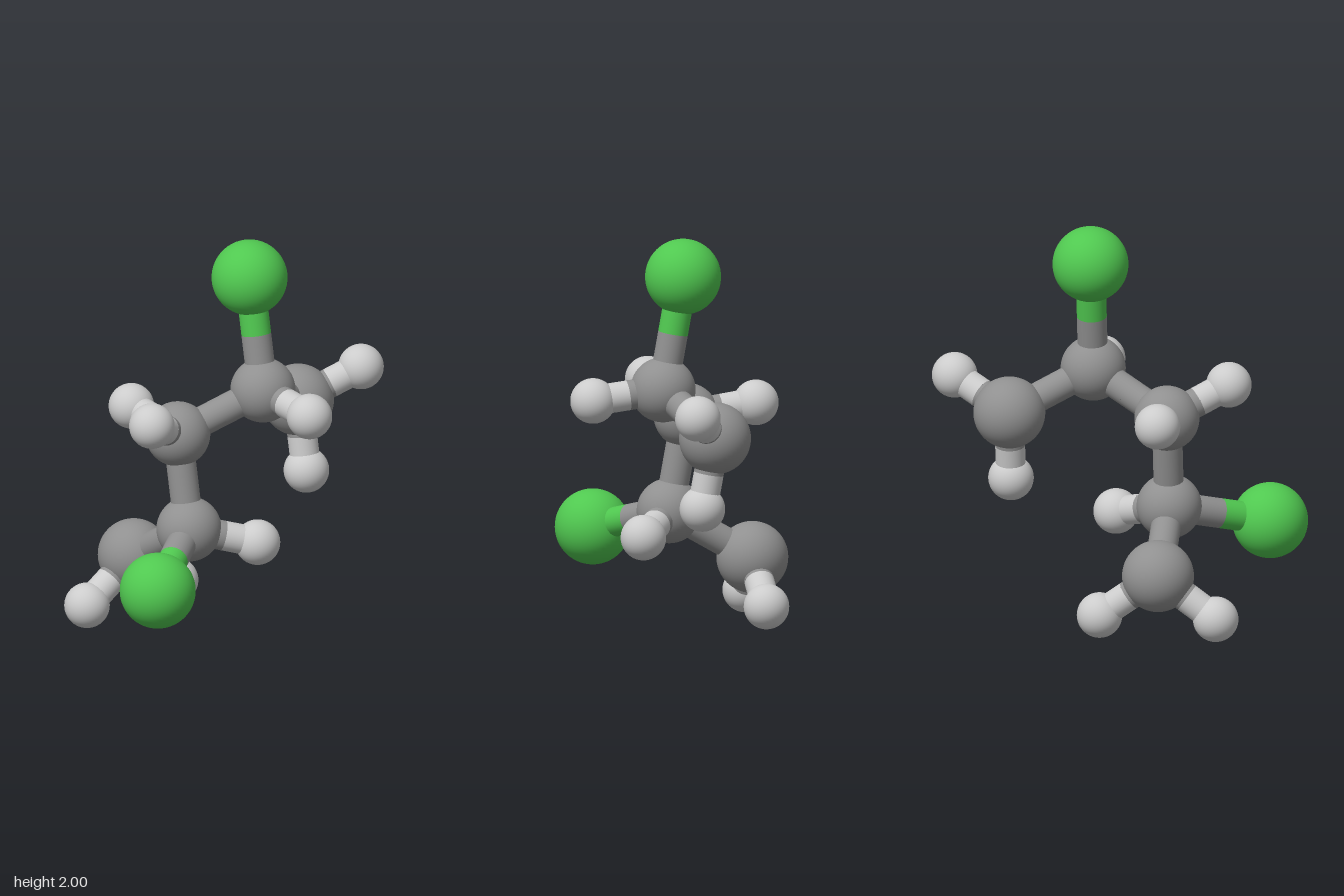
import * as THREE from 'three';

// Element styles
const material = (color) => new THREE.MeshStandardMaterial({ color });
const ELEMENTS = {
  carbon: { radius: 0.163, material: material(0x909090) },
  endCarbon: { radius: 0.18, material: material(0x909090) },
  chlorine: { radius: 0.19, material: material(0x50c850) },
  hydrogen: { radius: 0.114, material: material(0xcccccc) },
};
const BOND_RADIUS = 0.075;

// Atom: [element, x, y, z, index of the atom it is bonded to]
const ATOMS = [
  ['carbon', 0.115, 1.242, -0.125, null],
  ['carbon', -0.076, 1.05, 0.272, 0],
  ['carbon', 0.01, 0.57, 0.272, 1],
  ['endCarbon', -0.412, 0.325, 0.272, 2],
  ['endCarbon', -0.076, 1.05, -0.522, 0],
  ['chlorine', 0.013, 1.81, -0.125, 0],
  ['chlorine', 0.312, 0.43, 0.74, 2],
  ['hydrogen', 0.47, 1.195, -0.125, 0],
  ['hydrogen', -0.43, 1.105, 0.272, 1],
  ['hydrogen', 0.065, 1.195, 0.565, 1],
  ['hydrogen', 0.195, 0.482, -0.02, 2],
  ['hydrogen', -0.43, 0.117, 0.565, 3],
  ['hydrogen', -0.43, 0.117, -0.02, 3],
  ['hydrogen', 0.065, 1.195, -0.816, 4],
  ['hydrogen', -0.012, 0.695, -0.522, 4],
];

// Half of a bond, coloured like the atom it starts from
function halfBond(from, to, element) {
  const direction = to.clone().sub(from);
  const geometry = new THREE.CylinderGeometry(BOND_RADIUS, BOND_RADIUS, direction.length(), 32, 1, true);
  const mesh = new THREE.Mesh(geometry, ELEMENTS[element].material);
  mesh.name = `${element}HalfBond`;
  mesh.position.copy(from).add(to).multiplyScalar(0.5);
  mesh.quaternion.setFromUnitVectors(new THREE.Vector3(0, 1, 0), direction.normalize());
  return mesh;
}

export function createModel() {
  const model = new THREE.Group();
  model.name = 'moleculeModel';
  const positions = ATOMS.map(([, x, y, z]) => new THREE.Vector3(x, y, z));

  ATOMS.forEach(([element, , , , partner], i) => {
    // Ball
    const style = ELEMENTS[element];
    const ball = new THREE.Mesh(new THREE.SphereGeometry(style.radius, 48, 32), style.material);
    ball.name = `${element}Atom`;
    ball.position.copy(positions[i]);
    model.add(ball);

    // Stick, split at its midpoint
    if (partner === null) return;
    const middle = positions[i].clone().lerp(positions[partner], 0.5);
    const bond = new THREE.Group();
    bond.name = `${element}Bond`;
    bond.add(halfBond(positions[i], middle, element));
    bond.add(halfBond(positions[partner], middle, ATOMS[partner][0]));
    model.add(bond);
  });
  return model;
}
